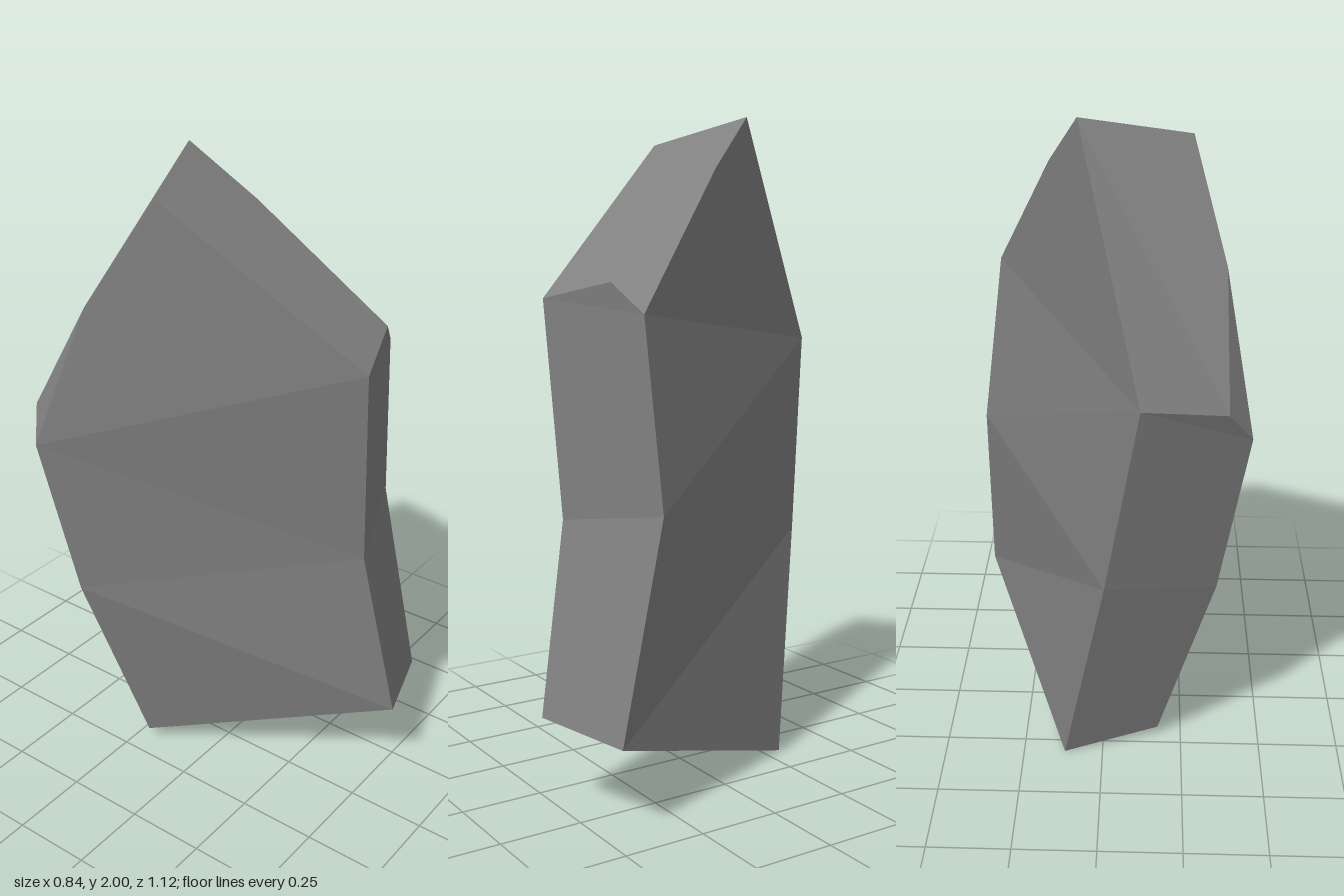
import * as THREE from 'three';

// Corners of the slab: its left and right outlines plus the chipped corners
const corners = {
  // far outline (-x side), from the crown down the back and up the front
  B: [-0.245, 1.93, -0.065], S: [-0.34, 1.61, -0.25], P: [-0.42, 1.165, -0.4],
  Q: [-0.34, 0.645, -0.33], K: [-0.175, 0.03, -0.21], H: [0.13, 0.285, 0.555],
  G: [0.075, 0.84, 0.45], C: [0.01, 1.47, 0.47],
  // near outline (+x side)
  A: [0.07, 2.0, -0.195], M: [-0.11, 1.315, -0.56], R: [-0.01, 0.7, -0.45],
  L: [0.12, 0.0, -0.305], J: [0.42, 0.26, 0.46], I: [0.41, 0.89, 0.32],
  E: [0.345, 1.435, 0.34],
  // chips at the front shoulder and the back shoulder
  D: [0.245, 1.52, 0.385], F: [0.16, 1.84, -0.02], N: [-0.35, 1.26, -0.455],
};

// Each facet lists its corners counter-clockwise from outside
const facets = [
  'BCDFA', 'DEF',                              // sloping crown and chip
  'CGIED', 'GHJI',                             // front edge
  'EMA', 'EAF', 'IME', 'IRM', 'JRI', 'JLR',    // broad +x side
  'PCB', 'PBS', 'PGC', 'QGP', 'QHG', 'KHQ',    // broad -x side
  'AMNSB', 'NPS', 'MRQPN', 'RLKQ',             // back edge and chip
  'LJHK',                                      // underside
];

function facetedGeometry() {
  const positions = [];
  for (const facet of facets) {
    for (let i = 1; i < facet.length - 1; i++) {
      for (const name of [facet[0], facet[i], facet[i + 1]]) positions.push(...corners[name]);
    }
  }
  const geometry = new THREE.BufferGeometry();
  geometry.setAttribute('position', new THREE.Float32BufferAttribute(positions, 3));
  geometry.computeVertexNormals(); // unshared corners keep every facet flat
  return geometry;
}

export function createModel() {
  const group = new THREE.Group();
  group.name = 'standingStone';

  const stone = new THREE.MeshStandardMaterial({ color: 0x808080 });
  stone.name = 'stone grey';

  const slab = new THREE.Mesh(facetedGeometry(), stone);
  slab.name = 'stoneSlab';
  group.add(slab);
  return group;
}
